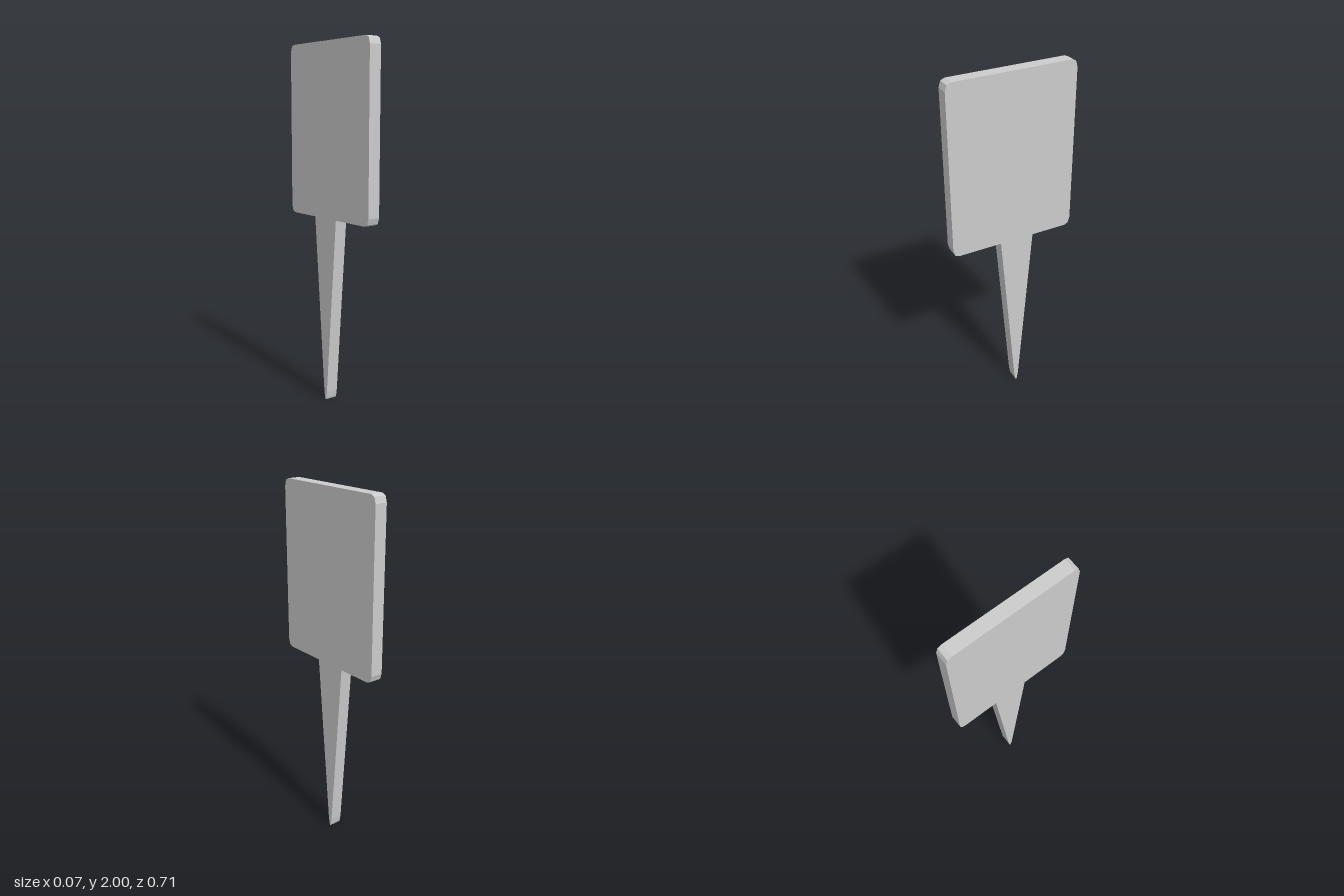
import * as THREE from 'three';

const HALF_WIDTH = 0.357, BOTTOM = 1.05, TOP = 2, THICKNESS = 0.07;
const SPIKE_Z = -0.021;

// Chamfered corner in two facets: flat run, middle point, upright run
const CORNER = [[0.032, 0], [0.01, 0.01], [0, 0.042]];

// Right-hand half of the spike, from the board down to the blunt tip
const SPIKE = [[0.098, BOTTOM], [0.0125, 0.05], [0.006, 0.012], [0.002, 0]];

function corner(sideZ, sideY) {
  const pts = CORNER.map(([dz, dy]) => new THREE.Vector2(
    sideZ * (HALF_WIDTH - dz),
    sideY > 0 ? TOP - dy : BOTTOM + dy,
  ));
  return sideZ * sideY > 0 ? pts.reverse() : pts;
}

export function createModel() {
  const group = new THREE.Group();
  group.name = 'stakeSign';

  // Counter-clockwise silhouette: tip, right flank, board, left flank
  const flank = (side) => SPIKE.map(([w, y]) => new THREE.Vector2(SPIKE_Z + side * w, y));
  const outline = [
    ...flank(1).reverse(),
    ...corner(1, -1), ...corner(1, 1),
    ...corner(-1, 1), ...corner(-1, -1),
    ...flank(-1),
  ];

  // Board and spike are cut from one flat sheet, turned to face sideways
  const geometry = new THREE.ExtrudeGeometry(new THREE.Shape(outline), {
    depth: THICKNESS, bevelEnabled: false,
  });
  geometry.translate(0, 0, -THICKNESS / 2);
  geometry.rotateY(-Math.PI / 2);

  const sign = new THREE.Mesh(geometry, new THREE.MeshStandardMaterial({
    color: 0xcccccc, flatShading: true,
  }));
  sign.name = 'boardWithSpike';
  group.add(sign);
  return group;
}
